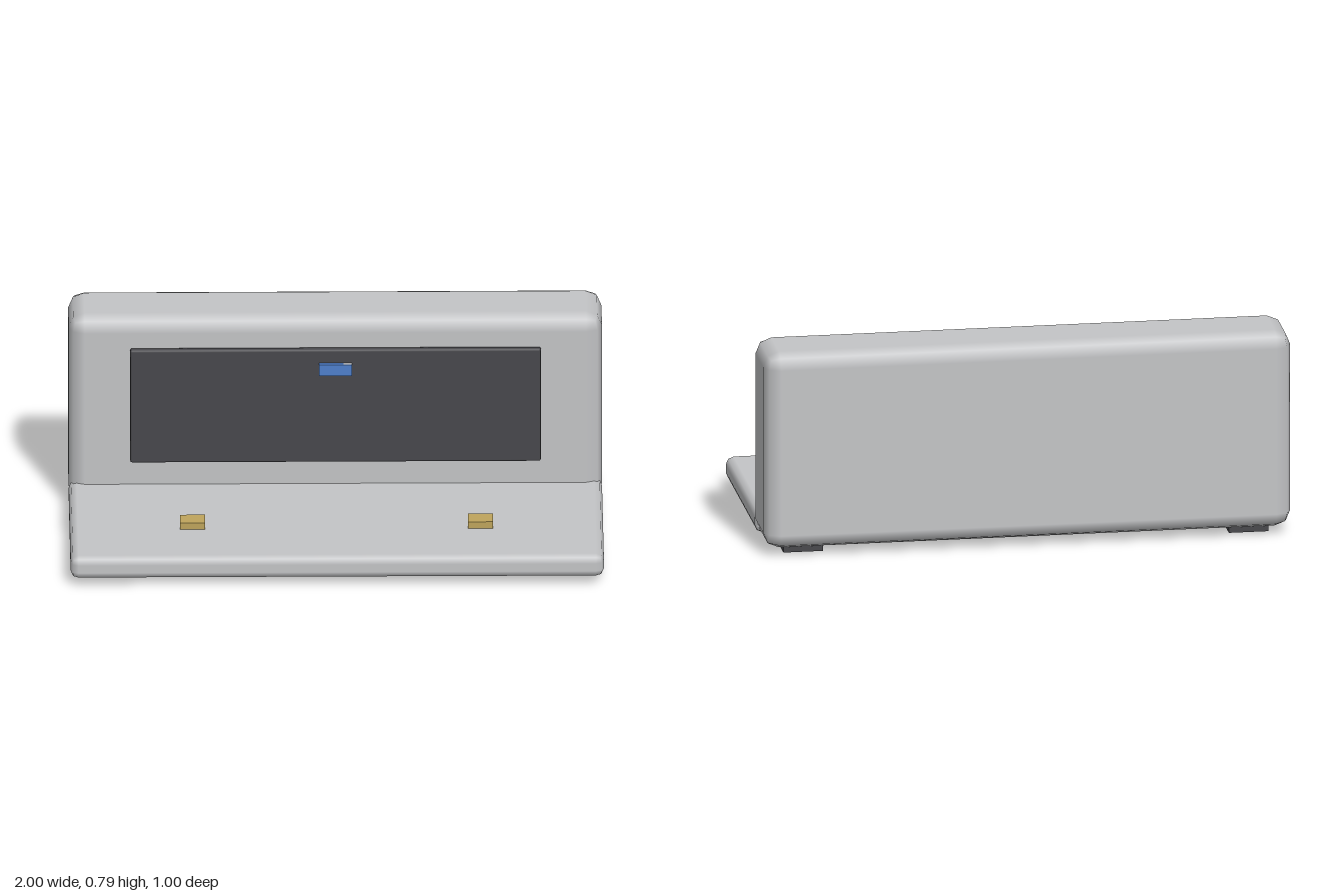
import * as THREE from 'three';
import { RoundedBoxGeometry } from 'three/addons/geometries/RoundedBoxGeometry.js';

export function createModel() {
  const model = new THREE.Group();
  const mat = (name, color) => Object.assign(new THREE.MeshStandardMaterial({ color }), { name });
  const shell = mat('shell grey', 0xc4c5c7);
  const dark = mat('dark panel', 0x48484c);
  const brass = mat('brass', 0xbfa55c);
  const blue = mat('blue', 0x4f80cc);
  const pale = mat('pale grey', 0xd0d2d4);

  // Box given by its [min, max] on each axis; a radius gives bevelled edges
  const box = (name, material, [x0, x1], [y0, y1], [z0, z1], radius = 0) => {
    const size = [x1 - x0, y1 - y0, z1 - z0];
    const geometry = radius
      ? new RoundedBoxGeometry(...size, 1, radius)
      : new THREE.BoxGeometry(...size);
    const mesh = new THREE.Mesh(geometry, material);
    mesh.name = name;
    mesh.position.set((x0 + x1) / 2, (y0 + y1) / 2, (z0 + z1) / 2);
    model.add(mesh);
  };

  // Upright body and the fold-down front leaf
  box('body', shell, [-1, 1], [0.027, 0.793], [-0.5, -0.193], 0.06);
  box('frontLeaf', shell, [-1, 1], [0.027, 0.117], [-0.262, 0.5], 0.03);

  // Front panel with its small badge plate
  box('frontPanel', dark, [-0.77, 0.77], [0.22, 0.68], [-0.184, -0.154], 0.008);
  box('badge', blue, [-0.062, 0.03], [0.583, 0.627], [-0.156, -0.134]);
  box('badgeEnd', pale, [0.03, 0.062], [0.583, 0.627], [-0.156, -0.139]);
  box('badgeEndFace', blue, [0.03, 0.062], [0.583, 0.627], [-0.139, -0.134]);

  // Paired latches and feet
  for (const side of [-1, 1]) {
    const span = (c, w) => [side * c - w / 2, side * c + w / 2];
    box('latch', brass, span(0.54, 0.094), [0.11, 0.144], [0.156, 0.233]);
    box('foot', dark, span(0.845, 0.15), [0, 0.04], [-0.422, -0.267]);
  }
  return model;
}
